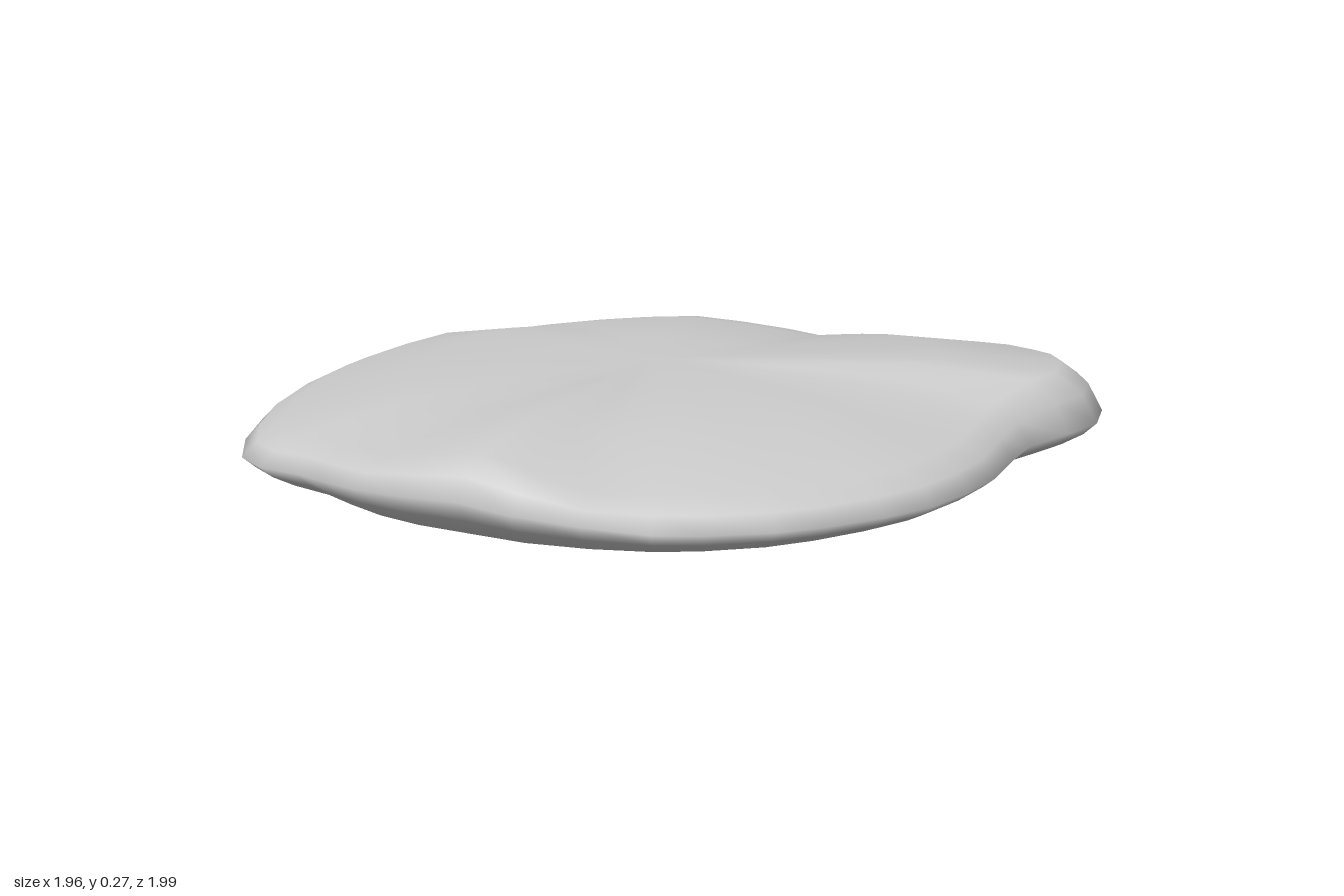
import * as THREE from 'three';

// Outline in plan (x, z), from the front round by the left side
const outline = [
  [0, 0.99], [0.13, 0.98], [0.28, 0.94], [0.42, 0.88], [0.52, 0.82], [0.64, 0.72], [0.72, 0.62],
  [0.8, 0.49], [0.86, 0.36], [0.89, 0.21], [0.9, 0.07], [0.89, -0.08], [0.89, -0.2], [0.94, -0.34],
  [0.975, -0.45], [0.945, -0.58], [0.87, -0.71], [0.78, -0.81], [0.67, -0.91], [0.55, -0.98],
  [0.43, -1], [0.34, -0.92], [0.26, -0.84], [0.13, -0.83], [-0.01, -0.84], [-0.16, -0.83],
  [-0.3, -0.8], [-0.44, -0.74], [-0.56, -0.665], [-0.68, -0.56], [-0.76, -0.485], [-0.92, -0.35],
  [-0.96, -0.18], [-0.98, 0], [-0.96, 0.22], [-0.91, 0.43], [-0.83, 0.62], [-0.74, 0.76],
  [-0.65, 0.815], [-0.52, 0.85], [-0.42, 0.9], [-0.3, 0.95], [-0.17, 0.98],
];
// Heights as [outline index, y]: shoulder of the top, and widest edge
const shoulderKeys = [[0, 0.245], [1, 0.215], [2, 0.175], [6, 0.165], [10, 0.165], [12, 0.195],
  [13, 0.23], [15, 0.23], [17, 0.195], [20, 0.14], [22, 0.15], [26, 0.18], [30, 0.16], [33, 0.155],
  [38, 0.165], [41, 0.19], [43, 0.245]];
const edgeKeys = [[0, 0.155], [3, 0.11], [10, 0.085], [14, 0.1], [20, 0.09], [24, 0.1],
  [33, 0.09], [38, 0.1], [43, 0.155]];

function heightAt(keys, i) {
  const k = keys.findIndex((key) => key[0] > i);
  const [i0, y0] = keys[k - 1], [i1, y1] = keys[k];
  return y0 + (y1 - y0) * (i - i0) / (i1 - i0);
}

function slabGeometry() {
  const n = outline.length, centreY = 0.255;
  // Rings from the top centre out over the edge and in underneath: [scale, height rule]
  const rings = [
    [0.3, (s) => centreY * 0.75 + s * 0.25 + 0.012],
    [0.62, (s) => centreY * 0.45 + s * 0.55 + 0.02],
    [0.9, (s) => s],
    [0.965, (s, e) => s * 0.55 + e * 0.45],
    [1, (s, e) => e],
    [0.97, (s, e) => e * 0.6 + 0.012],
    [0.92, (s, e) => 0.02 + e * 0.25],
    [0.8, () => 0.025],
    [0.5, (s, e, a) => 0.011 + 0.009 * Math.cos(3 * a)],
  ];
  const positions = [0, centreY, 0], index = [];
  for (const [scale, rule] of rings) {
    outline.forEach(([x, z], i) => {
      const y = rule(heightAt(shoulderKeys, i), heightAt(edgeKeys, i), Math.atan2(x, z));
      positions.push(x * scale, y, z * scale);
    });
  }
  positions.push(0, 0.02, 0);
  const last = positions.length / 3 - 1;
  for (let i = 0; i < n; i++) {
    const j = (i + 1) % n;
    index.push(0, 1 + i, 1 + j);
    for (let r = 0; r < rings.length - 1; r++) {
      const a = 1 + r * n, b = a + n;
      index.push(a + i, b + i, b + j, a + i, b + j, a + j);
    }
    const c = 1 + (rings.length - 1) * n;
    index.push(c + i, last, c + j);
  }
  const geometry = new THREE.BufferGeometry();
  geometry.setAttribute('position', new THREE.Float32BufferAttribute(positions, 3));
  geometry.setIndex(index);
  geometry.computeVertexNormals();
  return geometry;
}

export function createModel() {
  const group = new THREE.Group();
  const slab = new THREE.Mesh(slabGeometry(), new THREE.MeshStandardMaterial({ color: 0xcccccc }));
  slab.name = 'flatStone';
  group.add(slab);
  return group;
}
